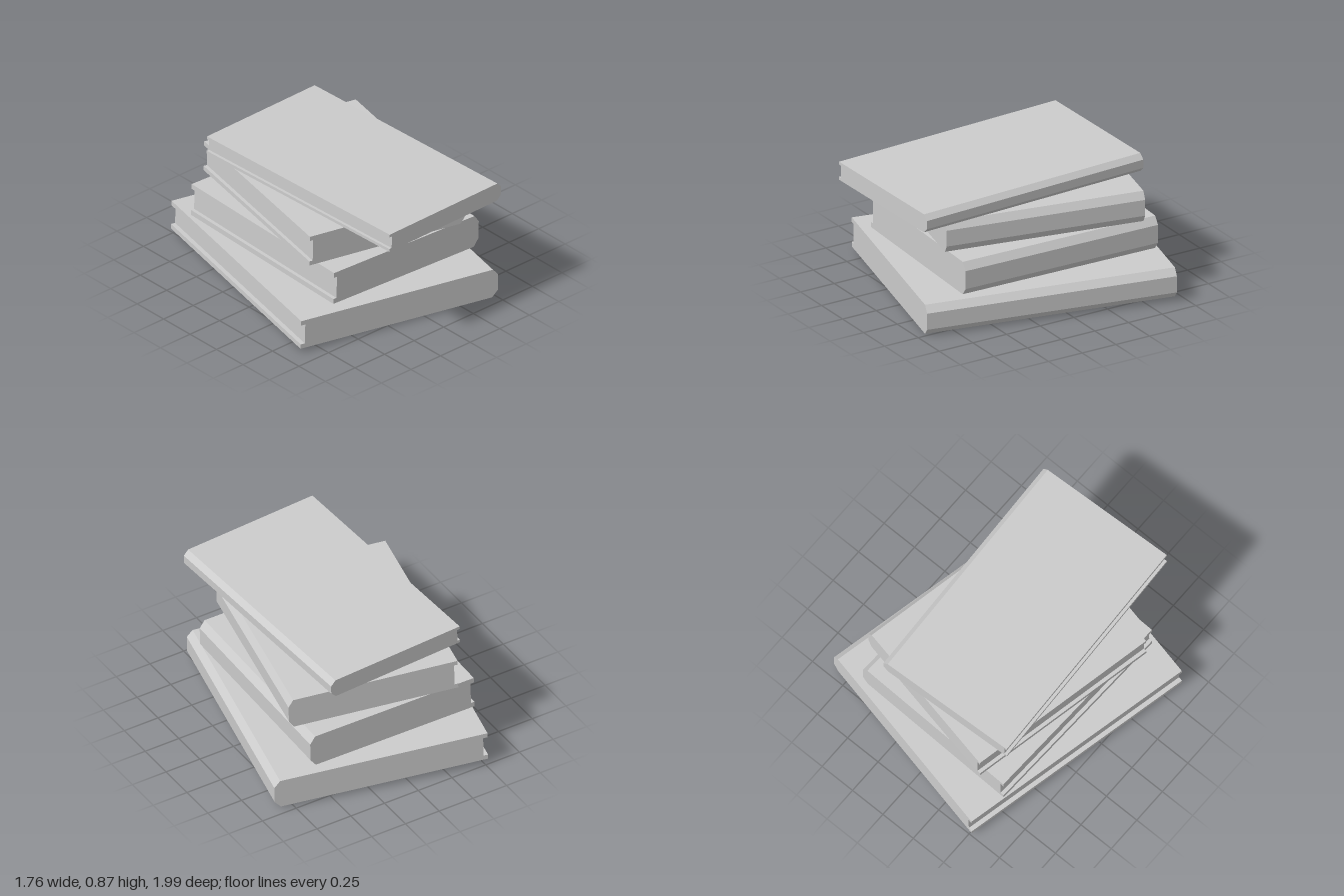
import * as THREE from 'three';

// One book: its end outline (spine on +x, page recess on -x) extruded along z.
function makeBook({ name, width, height, depth, cover, recess, chamferX, chamferY }) {
  const x = width / 2, y = height / 2;
  const outline = new THREE.Shape([
    // bottom board and bevelled spine
    [-x, -y], [x - chamferX, -y], [x, -y + chamferY],
    [x, y - chamferY], [x - chamferX, y], [-x, y],
    // page block set back between the two boards
    [-x, y - cover], [-x + recess, y - cover],
    [-x + recess, -y + cover], [-x, -y + cover],
  ].map(([px, py]) => new THREE.Vector2(px, py)));

  const geometry = new THREE.ExtrudeGeometry(outline, { depth, bevelEnabled: false });
  geometry.translate(0, 0, -depth / 2);
  const material = new THREE.MeshStandardMaterial({ color: 0xcccccc, flatShading: true });
  const book = new THREE.Mesh(geometry, material);
  book.name = name;
  return book;
}

// Books from the bottom of the stack to the top; the whole stack leans slightly.
const BOOKS = [
  { name: 'bottomBook', width: 1.425, height: 0.202, depth: 1.67, cover: 0.032, recess: 0.03,
    chamferX: 0.04, chamferY: 0.045, position: [-0.003, 0.124, -0.028], turn: -0.218 },
  { name: 'secondBook', width: 1.19, height: 0.225, depth: 1.4, cover: 0.035, recess: 0.025,
    chamferX: 0.037, chamferY: 0.05, position: [0, 0.371, -0.028], turn: -0.034 },
  { name: 'thirdBook', width: 1.135, height: 0.21, depth: 1.333, cover: 0.03, recess: 0.024,
    chamferX: 0.032, chamferY: 0.05, position: [0, 0.61, -0.03], turn: -0.206 },
  { name: 'topBook', width: 0.981, height: 0.125, depth: 1.652, cover: 0.02, recess: 0.02,
    chamferX: 0.034, chamferY: 0.034, position: [0.003, 0.793, 0.148], turn: 0.042 },
];

export function createModel() {
  const stack = new THREE.Group();
  stack.name = 'bookStack';
  for (const spec of BOOKS) {
    const book = makeBook(spec);
    book.position.set(...spec.position);
    // turn about the vertical, with a small tilt towards the front and the spine
    book.rotation.set(0.008, spec.turn, -0.02, 'YXZ');
    stack.add(book);
  }
  return stack;
}
